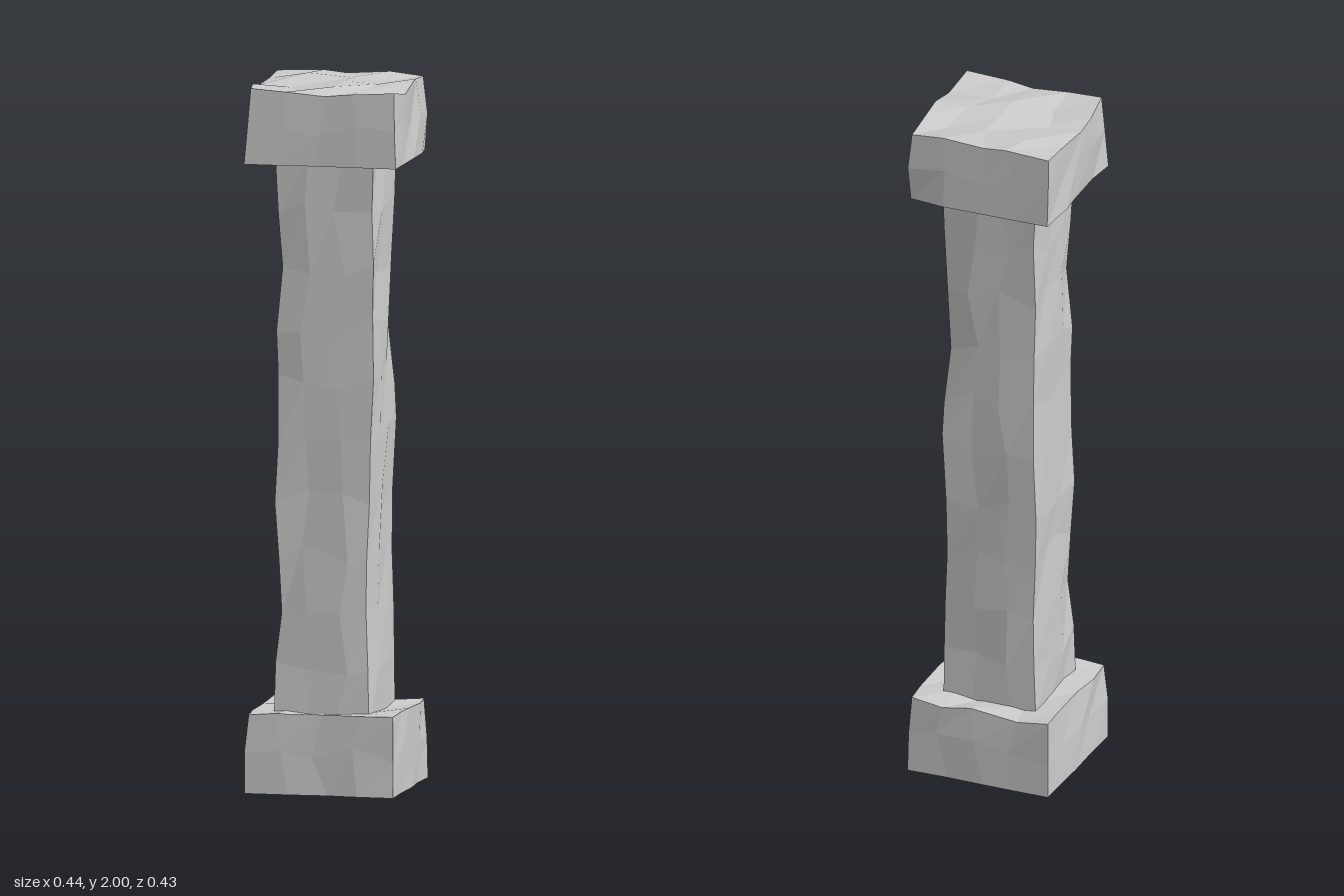
import * as THREE from 'three';
import { mergeVertices } from 'three/addons/utils/BufferGeometryUtils.js';

const stone = new THREE.MeshStandardMaterial({ color: 0xcccccc, flatShading: true });

// Repeatable noise in 0..1 from a seed
function makeRandom(seed) {
  let s = seed;
  return () => (s = (s * 16807) % 2147483647) / 2147483647;
}

// Rough-hewn block: a subdivided box whose faces are worn inwards.
// min/max: corners, cells: subdivisions, wear: depth per axis,
// chips: worn spots on vertical edges [sideX, sideZ, y, height, depthX, depthZ]
function hewnBlock(name, min, max, cells, wear, chips, seed, flatBottom = true) {
  const size = max.map((v, i) => v - min[i]);
  let geo = new THREE.BoxGeometry(...size, ...cells);
  geo.deleteAttribute('normal');
  geo.deleteAttribute('uv');
  geo = mergeVertices(geo, 1e-4);
  geo.translate(...min.map((v, i) => (v + max[i]) / 2));
  const random = makeRandom(seed);
  const pos = geo.attributes.position;
  for (let i = 0; i < pos.count; i++) {
    const p = [pos.getX(i), pos.getY(i), pos.getZ(i)];
    const side = p.map((v, k) => (v > max[k] - 1e-4 ? 1 : v < min[k] + 1e-4 ? -1 : 0));
    const y = p[1];
    const corner = side.every((s) => s !== 0);
    for (let k = 0; k < 3; k++) {
      const r = random();
      const slide = (random() - 0.5) * 0.45 * size[k] / cells[k];
      if (side[k] === 0) p[k] += slide;
      else if (!(k === 1 && side[1] < 0 && flatBottom)) {
        p[k] -= side[k] * wear[k] * r * r * (corner ? 0.5 : 1);
      }
    }
    // Chipped edges
    for (const [sx, sz, cy, h, dx, dz] of chips) {
      if (side[0] !== sx || side[2] !== sz) continue;
      const fall = Math.max(0, 1 - Math.abs(y - cy) / h);
      p[0] -= sx * dx * fall;
      p[2] -= sz * dz * fall;
    }
    pos.setXYZ(i, ...p);
  }
  geo = geo.toNonIndexed();
  geo.computeVertexNormals();
  const mesh = new THREE.Mesh(geo, stone);
  mesh.name = name;
  return mesh;
}

export function createModel() {
  const group = new THREE.Group();
  group.name = 'stoneColumn';

  group.add(
    // Square plinth with a worn upper ledge
    hewnBlock('base', [-0.222, 0, -0.213], [0.212, 0.23, 0.213], [4, 2, 4],
      [0.01, 0.018, 0.008],
      [[-1, 1, 0.23, 0.14, 0.012, 0.004], [1, 1, 0.23, 0.2, 0.004, 0.004],
        [1, -1, 0.23, 0.1, 0.012, 0.01]], 4177),

    // Long shaft with worn arrises
    hewnBlock('shaft', [-0.153, 0.19, -0.137], [0.137, 1.81, 0.144], [3, 10, 3],
      [0.012, 0, 0.01],
      [[1, 1, 0.51, 0.5, 0.024, 0.008],
        [-1, 1, 0.51, 0.25, 0.018, 0.008], [-1, 1, 1.08, 0.28, 0.016, 0.008],
        [-1, 1, 1.5, 0.25, 0.014, 0.01],
        [1, -1, 1.4, 0.3, 0.014, 0.016], [1, -1, 0.7, 0.3, 0.01, 0.008],
        [-1, -1, 0.5, 0.25, 0.016, 0.012]], 9241),

    // Square capital with an uneven top
    hewnBlock('capital', [-0.225, 1.785, -0.215], [0.218, 2, 0.213], [4, 2, 4],
      [0.014, 0.024, 0.006],
      [[-1, 1, 2, 0.18, 0.022, 0.006], [1, -1, 2, 0.18, 0.02, 0.004],
        [1, 1, 2, 0.12, 0.006, 0.004], [1, -1, 1.785, 0.1, 0.008, 0.012]], 6133),
  );
  return group;
}
